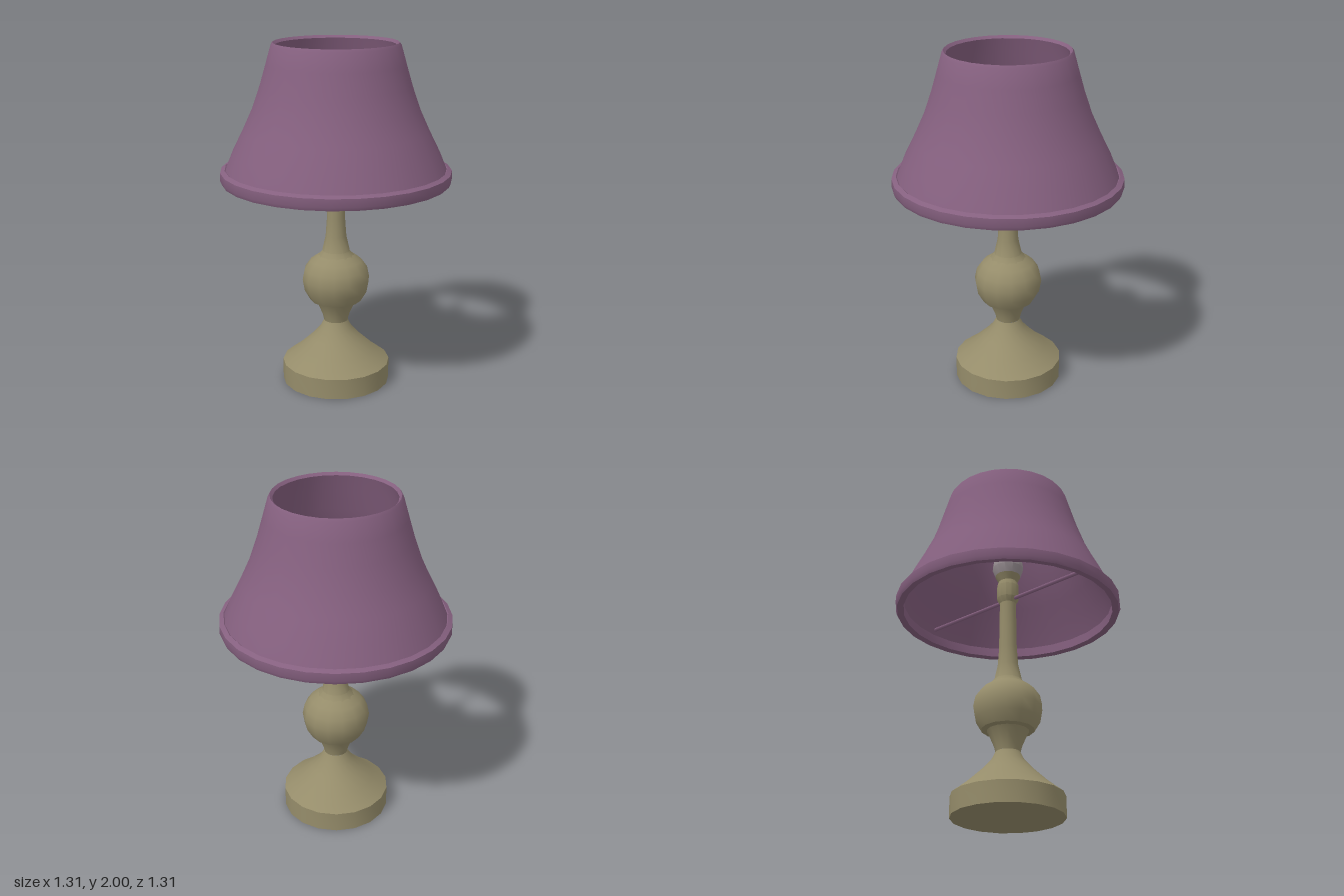
import * as THREE from 'three';
import { toCreasedNormals } from 'three/addons/utils/BufferGeometryUtils.js';

const BRASS = 0x958c6a, FABRIC = 0x85607f, BULB = 0x9a9094;

// Turned part from [radius, height] pairs, listed from bottom to top
function turned(name, profile, sides, color, crease = 0.6) {
  const points = profile.map(([r, y]) => new THREE.Vector2(r, y));
  const geometry = toCreasedNormals(new THREE.LatheGeometry(points, sides), crease);
  const mesh = new THREE.Mesh(geometry, new THREE.MeshStandardMaterial({ color }));
  mesh.name = name;
  return mesh;
}

export function createModel() {
  const lamp = new THREE.Group();
  lamp.name = 'tableLamp';

  // Round foot with a sloping top
  lamp.add(turned('foot', [
    [0, 0], [0.315, 0], [0.315, 0.12], [0.275, 0.15], [0.225, 0.19],
    [0.15, 0.26], [0.095, 0.32], [0.07, 0.37],
  ], 18, BRASS));

  // Waist, ball and slim neck
  lamp.add(turned('waist', [[0.07, 0.37], [0.08, 0.41], [0.11, 0.48], [0.13, 0.51]], 14, BRASS));
  lamp.add(turned('ball', [
    [0.1, 0.49], [0.15, 0.5], [0.185, 0.56], [0.197, 0.63],
    [0.185, 0.69], [0.15, 0.74], [0.1, 0.775],
  ], 14, BRASS));
  lamp.add(turned('neck', [
    [0.11, 0.765], [0.08, 0.8], [0.06, 0.89], [0.052, 1], [0.048, 1.3],
  ], 12, BRASS));

  // Socket and bulb inside the shade
  lamp.add(turned('socket', [[0.045, 1.28], [0.065, 1.32], [0.065, 1.4], [0.055, 1.43], [0.075, 1.47]], 12, BRASS));
  lamp.add(turned('bulb', [[0.075, 1.47], [0.093, 1.52], [0.085, 1.57], [0.05, 1.61], [0, 1.62]], 12, BULB));

  // Shade with a thin wall: outside upwards, then inside downwards
  const shade = turned('shade', [
    [0.63, 1.28], [0.585, 1.39], [0.525, 1.51], [0.47, 1.63], [0.425, 1.76],
    [0.39, 1.88], [0.36, 1.985], [0.35, 2], [0.335, 1.985],
    [0.37, 1.88], [0.405, 1.76], [0.45, 1.63], [0.505, 1.51], [0.565, 1.39], [0.61, 1.28],
  ], 28, FABRIC);
  shade.material.side = THREE.DoubleSide;
  lamp.add(shade);

  // Trim band round the lower edge
  lamp.add(turned('shadeTrim', [
    [0.61, 1.225], [0.648, 1.22], [0.657, 1.24], [0.655, 1.285], [0.63, 1.298], [0.61, 1.28], [0.61, 1.225],
  ], 28, FABRIC));

  // Cross bar carrying the shade
  const bar = new THREE.Mesh(
    new THREE.CylinderGeometry(0.012, 0.012, 1.2, 6),
    new THREE.MeshStandardMaterial({ color: FABRIC }),
  );
  bar.name = 'crossBar';
  bar.rotation.x = Math.PI / 2;
  bar.position.y = 1.31;
  lamp.add(bar);

  return lamp;
}
